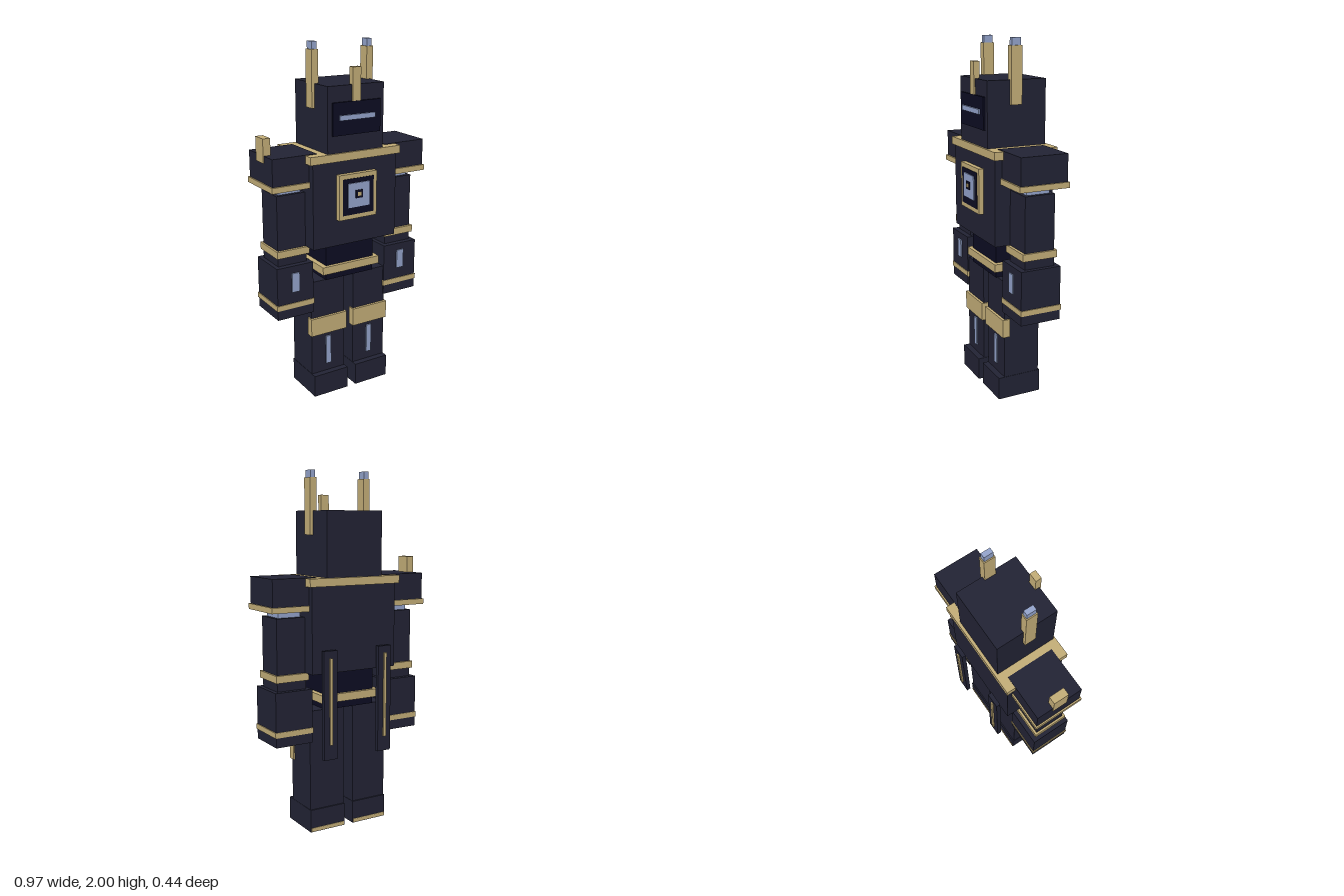
import * as THREE from 'three';

const mat = (name, color) => {
  const m = new THREE.MeshStandardMaterial({ color });
  m.name = name;
  return m;
};

export function createModel() {
  const model = new THREE.Group();
  model.name = 'robot';
  const armor = mat('armor', 0x222334);
  const navy = mat('navy', 0x0c0c22);
  const gold = mat('gold', 0xc4ae78);
  const glow = mat('paleBlue', 0x94a4cc);

  // box given by its low and high limits on each axis
  const box = (parent, name, m, [x0, x1], [y0, y1], [z0, z1]) => {
    const mesh = new THREE.Mesh(new THREE.BoxGeometry(x1 - x0, y1 - y0, z1 - z0), m);
    mesh.position.set((x0 + x1) / 2, (y0 + y1) / 2, (z0 + z1) / 2);
    mesh.name = name;
    parent.add(mesh);
  };
  const part = (name) => {
    const g = new THREE.Group();
    g.name = name;
    model.add(g);
    return g;
  };
  const about = (c, half) => [c - half, c + half];

  // head
  const head = part('head');
  box(head, 'skull', armor, [-0.174, 0.174], [1.43, 1.785], [-0.169, 0.176]);
  box(head, 'facePlate', navy, [-0.148, 0.148], [1.525, 1.7], [0.17, 0.187]);
  box(head, 'visor', glow, [-0.11, 0.11], [1.605, 1.632], [0.187, 0.196]);
  box(head, 'crest', gold, [-0.025, 0.025], [1.69, 1.875], [0.151, 0.184]);

  // torso and chest emblem, stacked in thin steps
  const torso = part('torso');
  box(torso, 'chest', armor, [-0.265, 0.265], [0.915, 1.4], [-0.169, 0.176]);
  box(torso, 'collar', gold, [-0.284, 0.284], [1.387, 1.431], [-0.185, 0.187]);
  box(torso, 'chestFrame', gold, [-0.12, 0.12], [1.063, 1.315], [0.17, 0.203]);
  box(torso, 'chestPanel', navy, [-0.098, 0.098], [1.088, 1.29], [0.2, 0.206]);
  box(torso, 'chestCore', glow, [-0.067, 0.067], [1.13, 1.265], [0.2, 0.212]);
  box(torso, 'coreCentre', navy, [-0.022, 0.022], [1.18, 1.225], [0.21, 0.216]);
  box(torso, 'corePoint', gold, [-0.01, 0.01], [1.192, 1.213], [0.21, 0.218]);
  box(torso, 'waist', navy, [-0.155, 0.155], [0.7, 0.915], [-0.115, 0.12]);
  box(torso, 'belt', gold, [-0.185, 0.185], [0.74, 0.785], [-0.133, 0.14]);

  for (const s of [1, -1]) {
    const side = s > 0 ? 'left' : 'right';

    // horns beside the head
    const horn = part(side + 'Horn');
    box(horn, 'hornShaft', gold, about(s * 0.171, 0.02), [1.655, 1.96], [-0.019, 0.044]);
    box(horn, 'hornTip', glow, about(s * 0.171, 0.014), [1.96, 2], [-0.014, 0.038]);

    // arm
    const arm = part(side + 'Arm'), ax = s * 0.348;
    box(arm, 'shoulder', armor, about(ax, 0.131), [1.28, 1.434], [-0.135, 0.135]);
    box(arm, 'shoulderTrim', gold, about(ax, 0.139), [1.255, 1.286], [-0.143, 0.145]);
    box(arm, 'shoulderJoint', glow, about(ax, 0.066), [1.215, 1.256], [-0.065, 0.068]);
    box(arm, 'upperArm', armor, about(ax, 0.087), [0.82, 1.22], [-0.087, 0.087]);
    box(arm, 'elbowTrim', gold, about(ax, 0.098), [0.875, 0.915], [-0.1, 0.103]);
    box(arm, 'forearm', armor, about(ax, 0.111), [0.525, 0.826], [-0.115, 0.119]);
    box(arm, 'wristTrim', gold, about(ax, 0.116), [0.58, 0.61], [-0.119, 0.123]);
    box(arm, 'forearmLight', glow, about(ax, 0.023), [0.675, 0.785], [0.117, 0.126]);

    // leg
    const leg = part(side + 'Leg'), lx = s * 0.138;
    box(leg, 'shin', armor, about(lx, 0.108), [0.12, 0.7], [-0.103, 0.11]);
    box(leg, 'kneeGuard', gold, about(lx, 0.116), [0.375, 0.48], [0.081, 0.125]);
    box(leg, 'shinLight', glow, about(lx, 0.016), [0.177, 0.35], [0.109, 0.118]);
    box(leg, 'foot', armor, about(lx, 0.11), [0, 0.13], [-0.111, 0.146]);
    box(leg, 'heelTrim', gold, about(lx, 0.107), [0.003, 0.024], [-0.114, -0.1]);

    // blades hanging behind the back
    const blade = part(side + 'Blade');
    box(blade, 'bladeBody', armor, about(s * 0.174, 0.042), [0.44, 1.045], [-0.209, -0.185]);
    box(blade, 'bladeStrip', gold, about(s * 0.174, 0.008), [0.525, 1.005], [-0.218, -0.209]);
  }

  // single spike on the right shoulder
  box(model, 'shoulderSpike', gold, [-0.483, -0.44], [1.395, 1.525], [-0.043, 0.043]);
  return model;
}
